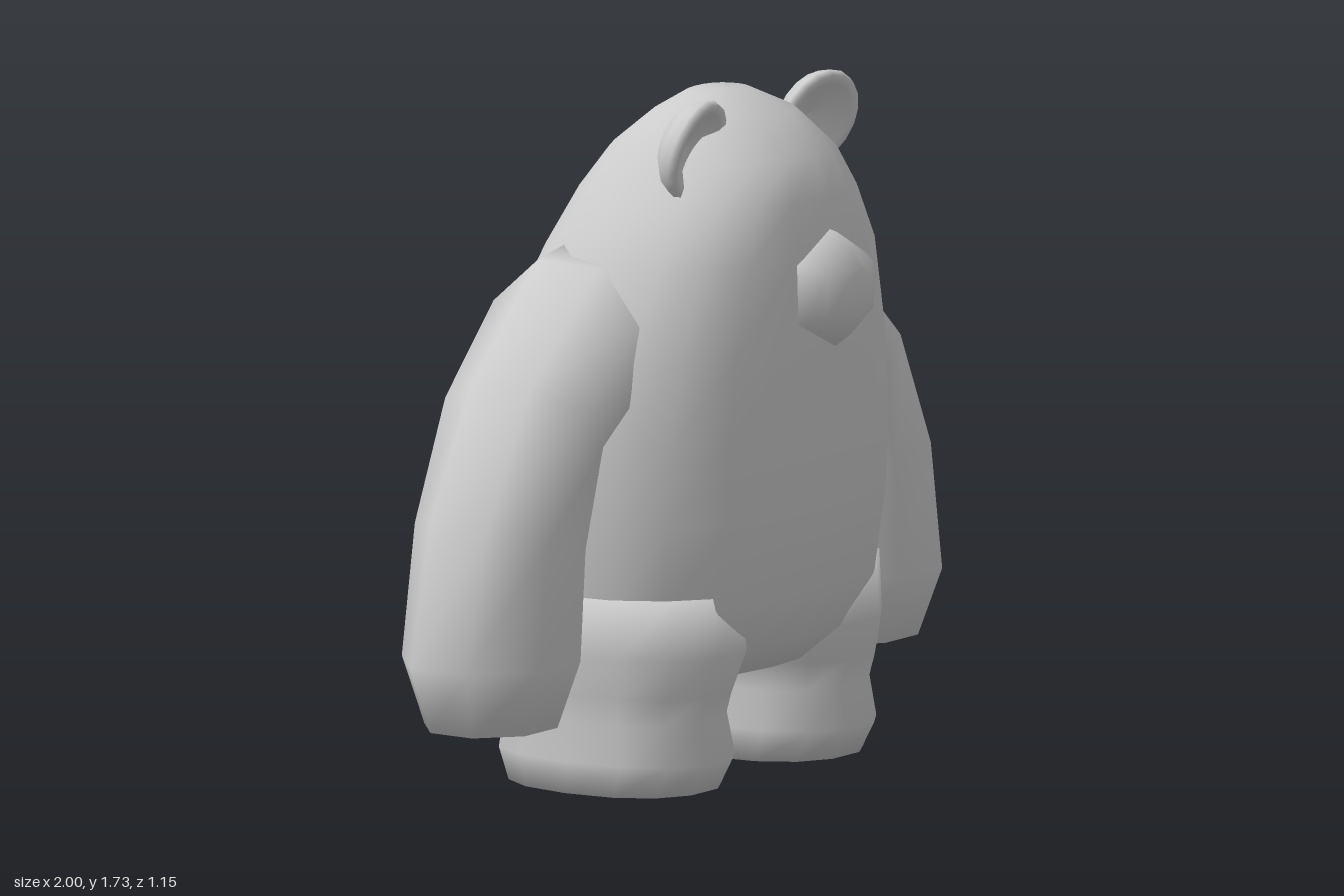
import * as THREE from 'three';

const material = new THREE.MeshStandardMaterial({ color: 0xcccccc });

// Closed smooth skin through rings of points, listed from bottom to top
function loft(rings) {
  const n = rings[0].length, last = (rings.length - 1) * n;
  const points = rings.flat(), index = [];
  const middle = (ring) => ring.reduce((m, p) => m.addScaledVector(p, 1 / n), new THREE.Vector3());
  const low = points.push(middle(rings[0])) - 1;
  const high = points.push(middle(rings[rings.length - 1])) - 1;
  for (let j = 0; j < n; j++) {
    const k = (j + 1) % n;
    for (let r = 0; r < last; r += n) {
      index.push(r + j, r + n + j, r + k, r + k, r + n + j, r + n + k);
    }
    index.push(low, j, k, high, last + k, last + j);
  }
  const geometry = new THREE.BufferGeometry().setFromPoints(points);
  geometry.setIndex(index);
  geometry.computeVertexNormals();
  return geometry;
}

// Rounded ring between an inner and outer (x, y) point and a back and front z
function ring([xi, yi, xo, yo, zb, zf], sides, power = 2, turn = 0, stretch = 1) {
  const soft = (v) => Math.sign(v) * Math.abs(v) ** (2 / power);
  return Array.from({ length: sides }, (_, j) => {
    const a = ((j + turn) / sides) * Math.PI * 2;
    const u = soft(Math.cos(a)) * stretch, v = soft(Math.sin(a)) * stretch;
    return new THREE.Vector3(
      (xi + xo) / 2 + (u * (xo - xi)) / 2,
      (yi + yo) / 2 + (u * (yo - yi)) / 2,
      (zb + zf) / 2 + (v * (zf - zb)) / 2
    );
  });
}

// Mirrors rings to the other side, keeping the faces outward
const toSide = (rings, s) => s > 0 ? rings
  : rings.map((r) => r.map((p) => new THREE.Vector3(-p.x, p.y, p.z)).reverse());

export function createModel() {
  const model = new THREE.Group();
  const add = (name, geometry) => {
    const mesh = new THREE.Mesh(geometry, material);
    mesh.name = name;
    model.add(mesh);
    return mesh;
  };

  // Body and head in one pear shape: y, half width, back z, front z
  const body = [
    [0.245, 0.12, -0.12, 0.15], [0.27, 0.36, -0.27, 0.3], [0.35, 0.5, -0.36, 0.385],
    [0.47, 0.53, -0.42, 0.445], [0.69, 0.545, -0.455, 0.48], [0.89, 0.55, -0.445, 0.485],
    [1.1, 0.51, -0.375, 0.485], [1.33, 0.43, -0.265, 0.48], [1.47, 0.335, -0.2, 0.46],
    [1.57, 0.265, -0.13, 0.42], [1.66, 0.19, -0.02, 0.31], [1.71, 0.09, 0.06, 0.2],
  ];
  add('body', loft(body.map(([y, w, zb, zf]) => ring([-w, y, w, y, zb, zf], 20, 2.25))));

  // Arm rings from hand to shoulder: inner x, y, outer x, y, back z, front z
  const arm = [
    [0.6, 0.205, 0.94, 0.205, -0.165, 0.14], [0.545, 0.375, 1.0, 0.375, -0.215, 0.195],
    [0.56, 0.62, 0.915, 0.735, -0.215, 0.2], [0.54, 0.84, 0.73, 1.06, -0.22, 0.205],
    [0.44, 0.92, 0.44, 1.32, -0.24, 0.22], [0.3, 0.98, 0.34, 1.36, -0.18, 0.2],
  ];
  // Leg rings from sole to hip
  const leg = [
    [0.09, 0, 0.515, 0, -0.245, 0.31], [0.085, 0.08, 0.52, 0.08, -0.28, 0.355],
    [0.1, 0.18, 0.51, 0.18, -0.265, 0.335], [0.09, 0.25, 0.52, 0.25, -0.3, 0.355],
    [0.04, 0.35, 0.53, 0.35, -0.34, 0.38], [0.04, 0.5, 0.53, 0.5, -0.33, 0.37],
  ];
  // Cupped ear profile, hollow on the front
  const earProfile = [
    [0, -0.06], [0.07, -0.048], [0.112, -0.018], [0.13, 0.015], [0.124, 0.034],
    [0.1, 0.03], [0.065, 0.002], [0, -0.012],
  ].map(([r, h]) => new THREE.Vector2(r, h));

  for (const [side, s] of [['left', 1], ['right', -1]]) {
    const armRings = arm.map((r) => ring(r, 8, 2, 0.5, 1 / Math.cos(Math.PI / 8)));
    add(side + 'Arm', loft(toSide(armRings, s)));
    add(side + 'Leg', loft(toSide(leg.map((r) => ring(r, 14, 2.3)), s)));

    const ear = add(side + 'Ear', new THREE.LatheGeometry(earProfile, 18).rotateX(Math.PI / 2));
    ear.position.set(s * 0.265, 1.615, 0.23);
    ear.rotation.set(0.3, s * -0.15, 0);
  }

  // Six-sided nose and tail
  const bump = () => new THREE.SphereGeometry(1, 6, 8).rotateX(Math.PI / 2);
  const nose = add('nose', bump().rotateZ(Math.PI / 6 * 3));
  nose.scale.set(0.16, 0.155, 0.135);
  nose.position.set(0, 1.245, 0.44);
  const tail = add('tail', bump().rotateZ(Math.PI / 2));
  tail.scale.set(0.16, 0.16, 0.16);
  tail.position.set(0, 0.48, -0.42);

  return model;
}
